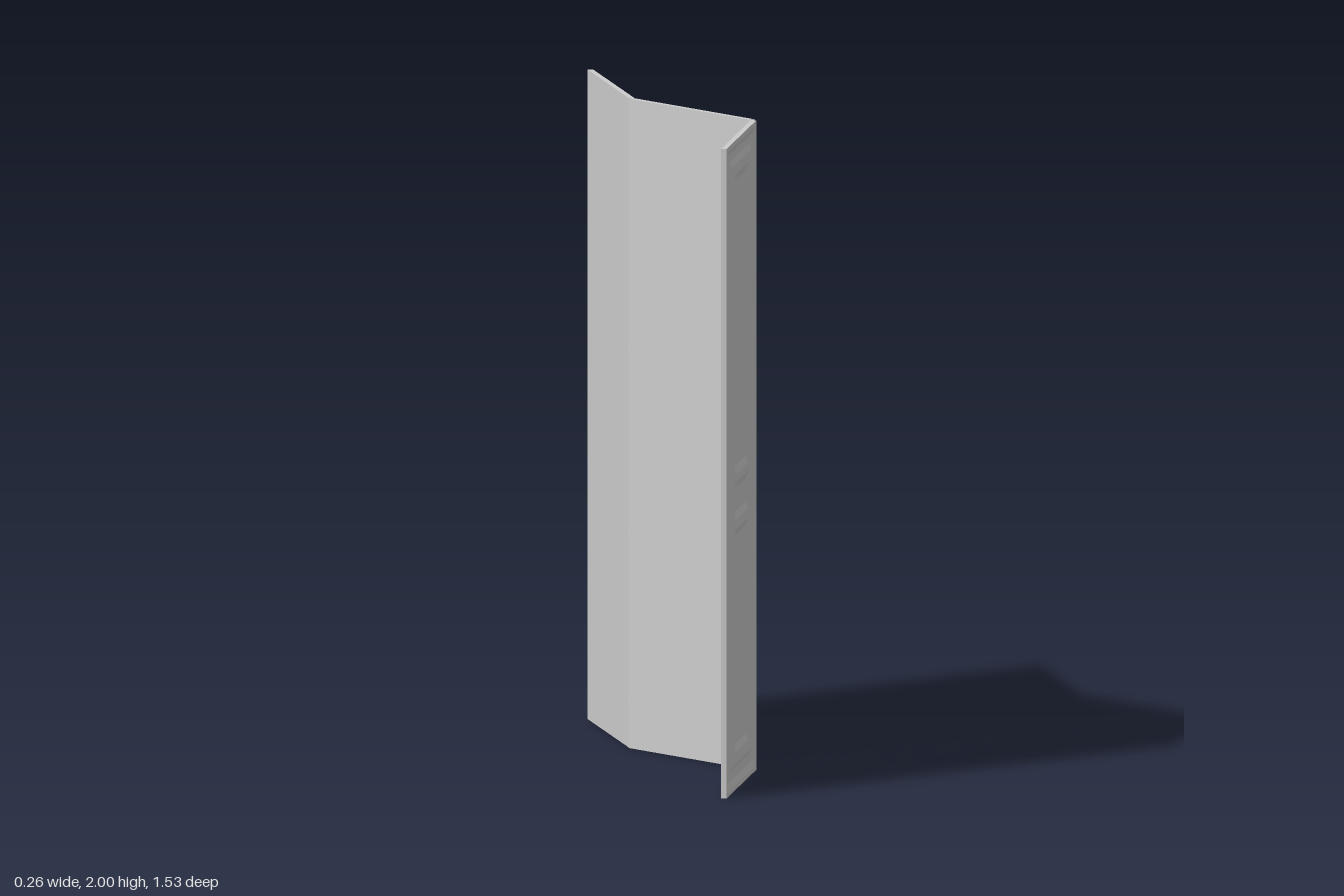
import * as THREE from 'three';

const W = 0.54, H = 2, T = 0.017, LOW = 0.010;

// Rectangle at depth z, listed counter-clockwise.
const rect = (x0, y0, x1, y1, z) => [[x0, y0, z], [x1, y0, z], [x1, y1, z], [x0, y1, z]];

// Flat-shaded skin joining successive rectangles.
function steps(rects) {
  const pos = [];
  for (let k = 0; k < rects.length - 1; k++) {
    const a = rects[k], b = rects[k + 1];
    for (let i = 0; i < 4; i++) {
      const j = (i + 1) % 4;
      for (const p of [a[i], a[j], b[j], a[i], b[j], b[i]]) pos.push(...p);
    }
  }
  const g = new THREE.BufferGeometry();
  g.setAttribute('position', new THREE.Float32BufferAttribute(pos, 3));
  g.computeVertexNormals();
  return g;
}

export function createModel() {
  const model = new THREE.Group();
  model.name = 'foldingScreen';
  const paint = new THREE.MeshStandardMaterial({ color: 0xcccccc });
  paint.name = 'light grey paint';

  const add = (parent, geometry, name) => {
    const mesh = new THREE.Mesh(geometry, paint);
    mesh.name = name;
    parent.add(mesh);
    return mesh;
  };

  // Raised field limits and the three sunken openings (bottom, top).
  const F = { x0: 0.108, y0: 0.08, x1: 0.448, y1: 1.925 };
  const openings = [[0.115, 0.80], [0.83, 0.945], [0.97, 1.895]];
  const ox0 = 0.15, ox1 = 0.398;

  // Slab: flat back, sides, rim, sunken frame, bevel up to the field.
  const mx = W / 2, my = H / 2;
  const slab = steps([
    rect(mx, my, mx, my, 0),
    rect(0, 0, W, H, 0),
    rect(0, 0, W, H, T),
    rect(0.014, 0.014, W - 0.014, H - 0.014, T),
    rect(0.024, 0.034, W - 0.024, H - 0.034, LOW),
    rect(F.x0 - 0.008, F.y0 - 0.018, F.x1 + 0.008, F.y1 + 0.018, LOW),
    rect(F.x0, F.y0, F.x1, F.y1, T),
  ]);

  // Field face with its openings cut out.
  const points = (x0, y0, x1, y1) => rect(x0, y0, x1, y1, 0).map(p => new THREE.Vector2(p[0], p[1]));
  const shape = new THREE.Shape(points(F.x0, F.y0, F.x1, F.y1));
  for (const [y0, y1] of openings) shape.holes.push(new THREE.Path(points(ox0, y0, ox1, y1)));
  const field = new THREE.ShapeGeometry(shape).translate(0, 0, T);

  // Bevelled recess filling each opening.
  const recesses = openings.map(([y0, y1]) => {
    const cx = (ox0 + ox1) / 2, cy = (y0 + y1) / 2;
    return steps([
      rect(ox0, y0, ox1, y1, T),
      rect(ox0 + 0.01, y0 + 0.022, ox1 - 0.01, y1 - 0.022, LOW),
      rect(cx, cy, cx, cy, LOW),
    ]);
  });

  // Leaves, given by centre-line ends (x, z).
  const leaves = [
    ['frontLeaf', -0.12, 0.759, 0.12, 0.275],
    ['middleLeaf', 0.12, 0.262, -0.12, -0.219],
    ['rearLeaf', -0.117, -0.225, -0.086, -0.764],
  ];
  for (const [name, x0, z0, x1, z1] of leaves) {
    const pivot = new THREE.Group();
    pivot.name = name;
    pivot.position.set(x0, 0, z0);
    pivot.rotation.y = Math.atan2(z0 - z1, x1 - x0);
    const leaf = new THREE.Group();
    leaf.name = name + 'Body';
    leaf.position.z = -T / 2;
    pivot.add(leaf);
    add(leaf, slab, 'leafFrame');
    add(leaf, field, 'raisedField');
    recesses.forEach((g, i) => add(leaf, g, ['lowerRecess', 'middleRecess', 'upperRecess'][i]));
    model.add(pivot);
  }

  // Hinge knuckles along both folds.
  const knuckle = new THREE.CylinderGeometry(0.006, 0.006, 0.055, 10);
  for (const [x, z] of [[0.124, 0.269], [-0.123, -0.222]]) {
    for (const y of [0.12, 0.625, 1.215, 1.875]) {
      add(model, knuckle, 'hinge').position.set(x, y, z);
    }
  }
  return model;
}
